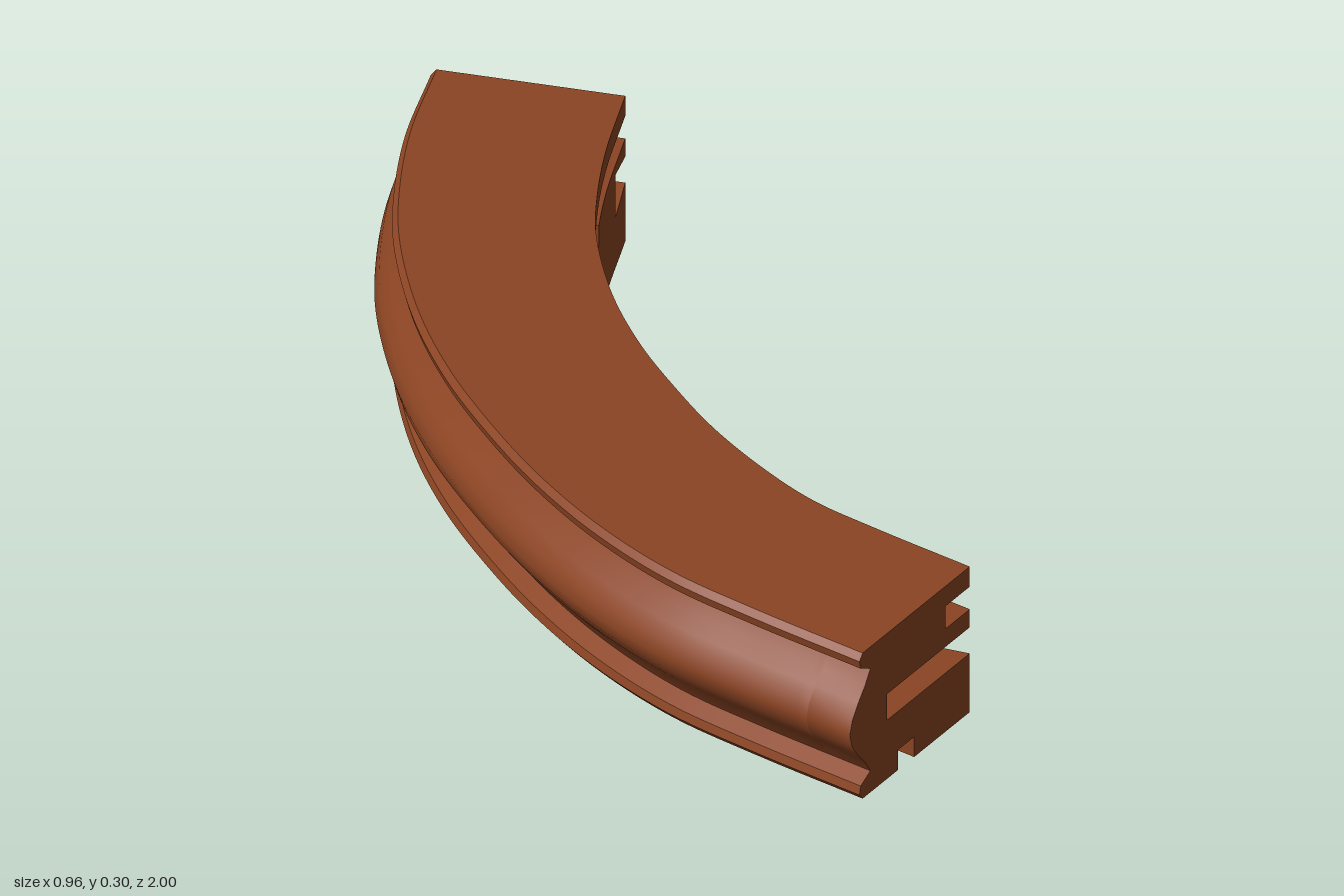
import * as THREE from 'three';
import { mergeGeometries, toCreasedNormals } from 'three/addons/utils/BufferGeometryUtils.js';

const W = 0.373; // width of the cross-section

// outer and inner edges of the curved rail, as matching [x, z] pairs from back to front
const curve = (pts) => new THREE.CatmullRomCurve3(pts.map(([x, z]) => new THREE.Vector3(x, 0, z)));
const outer = curve([[-0.39, -1], [-0.445, -0.8], [-0.475, -0.6], [-0.483, -0.43], [-0.463, -0.2], [-0.42, 0],
  [-0.36, 0.18], [-0.28, 0.37], [-0.18, 0.55], [-0.06, 0.71], [0.08, 0.845], [0.255, 0.998]]);
const inner = curve([[-0.035, -0.885], [-0.078, -0.7], [-0.1, -0.55], [-0.107, -0.43], [-0.09, -0.24], [-0.05, -0.07],
  [0, 0.07], [0.06, 0.21], [0.14, 0.35], [0.22, 0.46], [0.32, 0.555], [0.475, 0.69]]);
const LAST = 11;

// moulded outer face, from the top lip down to the bottom lip
const moulding = [[0.04, 0.3], [0.03, 0.288], [0.034, 0.272], [0.064, 0.257], [0.048, 0.232], [0.026, 0.207], [0.008, 0.182],
  [0, 0.155], [0.008, 0.128], [0.026, 0.103], [0.048, 0.078], [0.064, 0.053], [0.034, 0.038], [0.03, 0.022], [0.04, 0.01]];

// cross-section [u, y] at one station, counter-clockwise
function profile({ t, slot = 0, pocket = false }) {
  const k = (t - 4) / 2.4; // position along the crescent recess underneath
  const inside = k > 0.001 && k < 0.999;
  const ua = 0.225, ub = inside ? ua + 0.11 * Math.sin(Math.PI * k) : ua;
  const roof = inside ? 0.06 : 0.01;
  const rim = inside ? 0.01 - 0.01 * Math.sin(2 * Math.PI * k) ** 2 : 0.01;
  const h = slot || 0.026, s = slot ? 0.115 : W;
  return [
    [0.15, 0.01], [0.15, 0.05], [0.2, 0.05], [0.2, 0.01], // bottom groove
    [ua, 0.01], [ua, roof], [ub, roof], [ub, rim], // crescent recess
    [W, 0.01],
    [W, 0.153 - h], [s, 0.153 - h], [s, 0.153 + h], [W, 0.153 + h], // end slot
    [W, pocket ? 0.15 : 0.215], [W - 0.075, pocket ? 0.15 : 0.215], [W - 0.075, 0.26], [W, 0.26], // side groove
    [W, 0.3],
    ...moulding,
  ];
}

function section(station) {
  const o = outer.getPoint(station.t / LAST), i = inner.getPoint(station.t / LAST);
  return profile(station).map(([u, y]) => o.clone().lerp(i, u / W).setY(y));
}

function fromTriangles(points) {
  return new THREE.BufferGeometry().setFromPoints(points);
}

// skin between consecutive sections
function sweep(stations) {
  const rings = stations.map(section), tris = [];
  for (let r = 0; r < rings.length - 1; r++) {
    const p = rings[r], q = rings[r + 1];
    p.forEach((a, i) => {
      const j = (i + 1) % p.length;
      tris.push(a, p[j], q[j], a, q[j], q[i]);
    });
  }
  return fromTriangles(tris);
}

// flat end face
function cap(station, facesFront) {
  const ring = section(station);
  const flat = profile(station).map(([u, y]) => new THREE.Vector2(u, y));
  const tris = [];
  for (const [a, b, c] of THREE.ShapeUtils.triangulateShape(flat, [])) {
    tris.push(ring[a], ring[facesFront ? b : c], ring[facesFront ? c : b]);
  }
  return fromTriangles(tris);
}

export function createModel() {
  const group = new THREE.Group();
  group.name = 'curvedRail';
  const wood = new THREE.MeshStandardMaterial({ color: 0x8b4423 });
  wood.name = 'reddish brown wood';

  const add = (name, parts) => {
    const mesh = new THREE.Mesh(toCreasedNormals(mergeGeometries(parts), 0.6), wood);
    mesh.name = name;
    group.add(mesh);
  };

  // main rail, with the side pocket stepped in and out by doubled stations
  const back = 0.45, front = LAST - 0.4, pocketStart = 1.65, pocketEnd = 3.5;
  const stations = [{ t: back }];
  for (let n = 5; n <= 105; n++) {
    const t = n / 10;
    stations.push({ t, pocket: t > pocketStart && t < pocketEnd });
    if (n === 16) stations.push({ t: pocketStart }, { t: pocketStart, pocket: true });
    if (n === 34) stations.push({ t: pocketEnd, pocket: true }, { t: pocketEnd });
  }
  stations.push({ t: front });
  add('rail', [sweep(stations), cap(stations[0], false), cap(stations.at(-1), true)]);

  // slotted ends, the slot flaring inwards
  const narrow = 0.026, wide = 0.042;
  const backFace = { t: 0, slot: narrow }, frontFace = { t: LAST, slot: narrow };
  add('backEnd', [sweep([backFace, { t: back / 2, slot: 0.034 }, { t: back, slot: wide }]), cap(backFace, false)]);
  add('frontEnd', [sweep([{ t: front, slot: wide }, { t: LAST - 0.2, slot: 0.034 }, frontFace]), cap(frontFace, true)]);
  return group;
}
